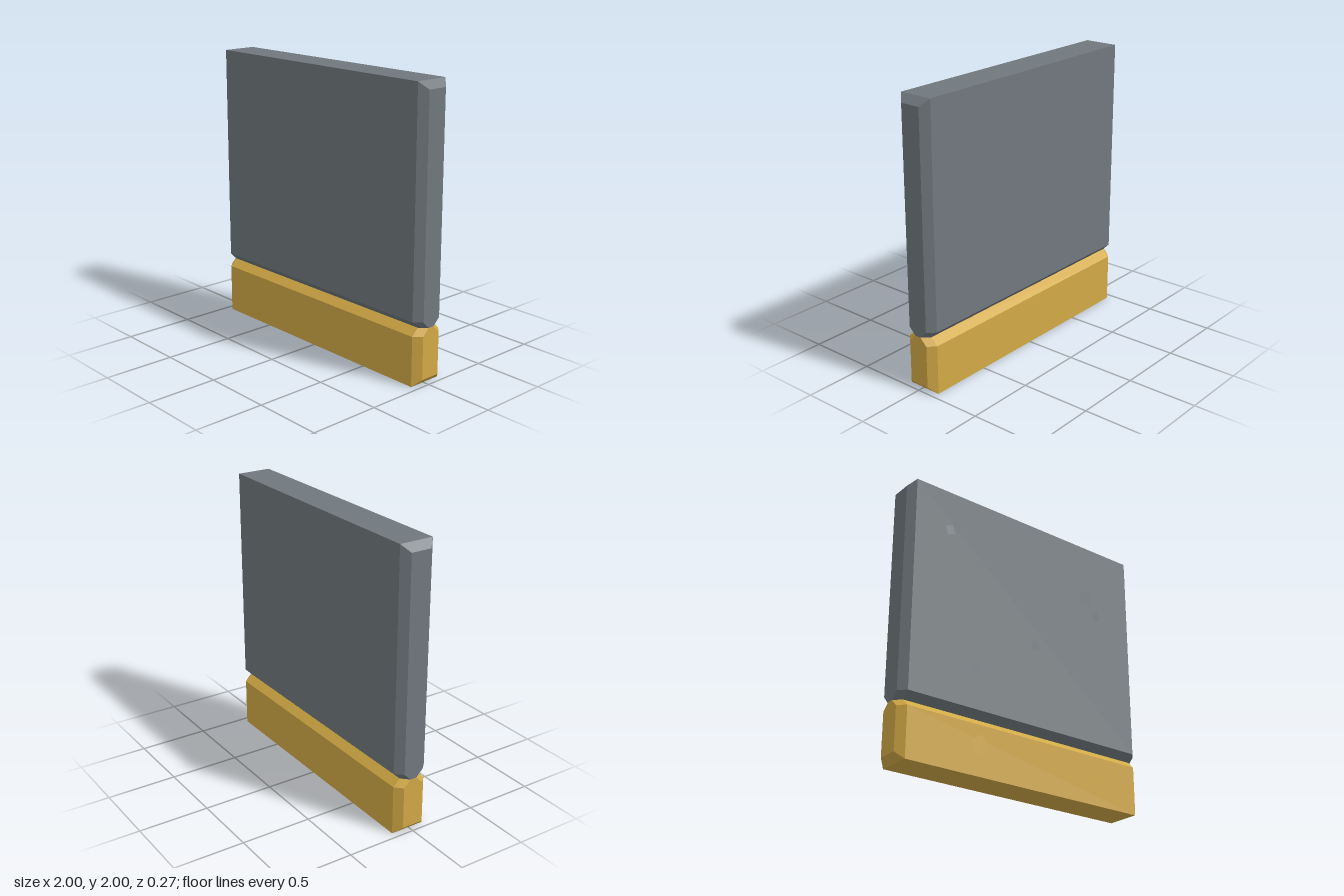
import * as THREE from 'three';

const HALF_DEPTH = 0.123, BEVEL = 0.05, CENTER_Z = -0.01;

// Slab lofted along x: joint edge chamfered front and back, both ends tapered in.
function slabGeometry(joint, edge) {
  const s = Math.sign(edge - joint);
  const ring = (x, inset) => {
    const d = HALF_DEPTH - inset;
    const pts = [
      [d, edge - s * inset], [d, joint + s * BEVEL], [d - BEVEL, joint],
      [BEVEL - d, joint], [-d, joint + s * BEVEL], [-d, edge - s * inset],
    ];
    if (s < 0) pts.reverse(); // keep faces outward
    return pts.map(([z, y]) => [x, y, z + CENTER_Z]);
  };
  const rings = [ring(-1, BEVEL), ring(-1 + BEVEL, 0), ring(1 - BEVEL, 0), ring(1, BEVEL)];
  const n = rings[0].length, pos = [];
  const tri = (a, b, c) => pos.push(...a, ...b, ...c);
  for (let i = 0; i < rings.length - 1; i++) {
    for (let j = 0; j < n; j++) {
      const k = (j + 1) % n, p = rings[i], q = rings[i + 1];
      tri(p[j], p[k], q[k]);
      tri(p[j], q[k], q[j]);
    }
  }
  // end caps
  const first = rings[0], last = rings[rings.length - 1];
  for (let j = 1; j < n - 1; j++) {
    tri(last[0], last[j], last[j + 1]);
    tri(first[0], first[j + 1], first[j]);
  }
  const geo = new THREE.BufferGeometry();
  geo.setAttribute('position', new THREE.Float32BufferAttribute(pos, 3));
  geo.computeVertexNormals();
  return geo;
}

export function createModel() {
  const stone = new THREE.MeshStandardMaterial({ color: 0x70787d });
  stone.name = 'slate grey';
  const gold = new THREE.MeshStandardMaterial({ color: 0xd2a945 });
  gold.name = 'ochre gold';

  const model = new THREE.Group();
  model.name = 'wallPanel';
  const add = (geo, mat, name) => {
    const mesh = new THREE.Mesh(geo, mat);
    mesh.name = name;
    model.add(mesh);
    return mesh;
  };

  // main slab and skirting band
  add(slabGeometry(0.4, 2), stone, 'upperSlab');
  add(slabGeometry(0.4, 0), gold, 'baseBand');

  // small square flakes just ahead of the front face: x, y, size, turn
  const flakes = [
    [-0.683, 1.687, 0.064, 0.38, stone],
    [0.525, 1.56, 0.1, 0, stone],
    [0.616, 1.436, 0.063, 0.4, stone],
    [-0.14, 1.225, 0.06, 0.62, stone],
    [0.047, 1.04, 0.063, 0.4, stone],
    [-0.48, 0.738, 0.095, 0.36, stone],
    [-0.408, 0.206, 0.108, 0.55, gold],
    [0.538, 0.158, 0.06, 0.42, gold],
  ];
  flakes.forEach(([x, y, size, turn, mat], i) => {
    const flake = add(new THREE.PlaneGeometry(size, size), mat, `flake${i + 1}`);
    flake.position.set(x, y, 0.133);
    flake.rotation.z = turn;
  });
  return model;
}
